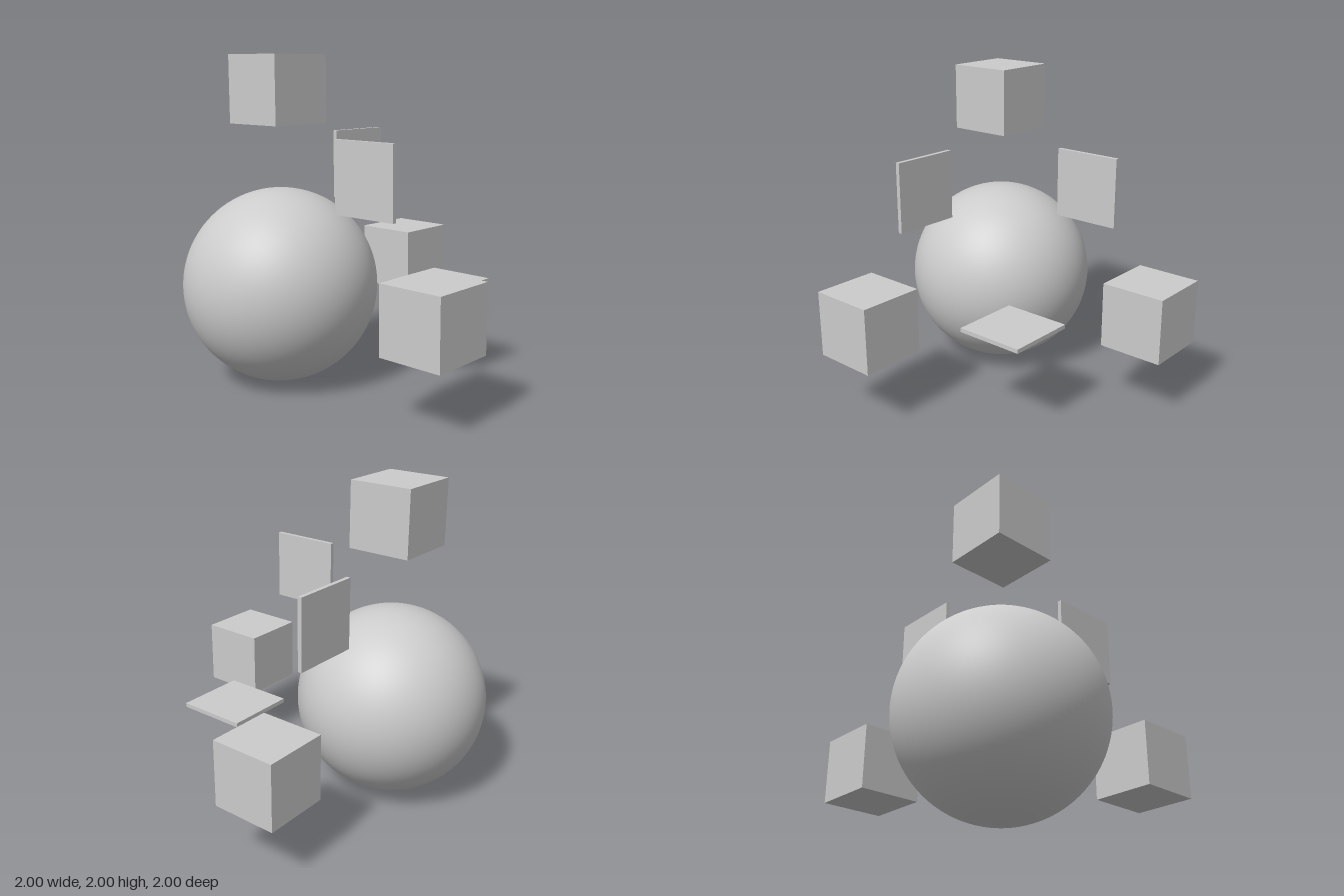
import * as THREE from 'three';

export function createModel() {
  const group = new THREE.Group();
  const material = new THREE.MeshStandardMaterial({ color: 0xcccccc });
  const radius = 0.598;
  const origin = new THREE.Vector3(radius - 1, radius, radius - 1);

  const add = (name, geometry, offset) => {
    const mesh = new THREE.Mesh(geometry, material);
    mesh.name = name;
    mesh.position.fromArray(offset).add(origin);
    group.add(mesh);
  };

  // Central ball
  add('centreSphere', new THREE.SphereGeometry(radius, 96, 64), [0, 0, 0]);

  // One cube along each axis, one thin plate in each plane between two axes
  const cube = 0.409, cubeDistance = 2 * radius;
  const plate = 0.435, thickness = 0.026, plateDistance = 0.705;
  ['X', 'Y', 'Z'].forEach((axis, i) => {
    const along = [0, 0, 0];
    along[i] = cubeDistance;
    add('axisCube' + axis, new THREE.BoxGeometry(cube, cube, cube), along);

    const size = [plate, plate, plate];
    const between = [plateDistance, plateDistance, plateDistance];
    size[i] = thickness;
    between[i] = 0;
    add('planePlate' + axis, new THREE.BoxGeometry(...size), between);
  });

  return group;
}
